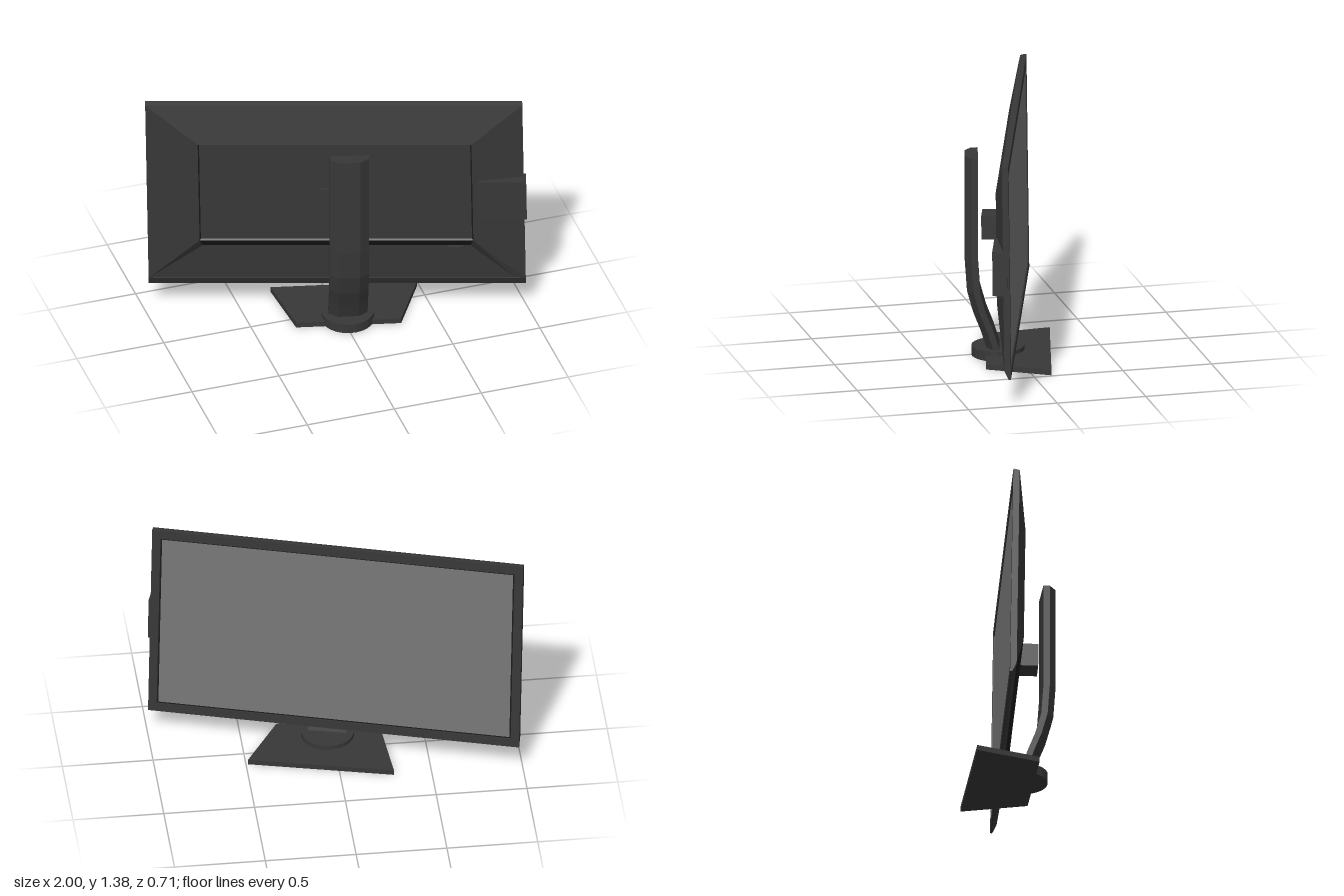
import * as THREE from 'three';

const dark = new THREE.MeshStandardMaterial({ color: 0x383838, flatShading: true });
const trim = new THREE.MeshStandardMaterial({ color: 0x1c1c1c, flatShading: true });
const glass = new THREE.MeshStandardMaterial({ color: 0x787878, flatShading: true });

// Display frame: across, up, and out of the back (slightly turned and leaning)
const panelMatrix = new THREE.Matrix4().makeBasis(
  new THREE.Vector3(1, -0.01, 0.31),
  new THREE.Vector3(-0.02, 1, 0.008),
  new THREE.Vector3(-0.296, 0, 0.955),
).setPosition(0, 0.765, -0.04);

function mesh(name, geometry, material, parent) {
  const m = new THREE.Mesh(geometry, material);
  m.name = name;
  parent.add(m);
  return m;
}

// Flat polygons, corners counter-clockwise seen from outside
function facets(polygons) {
  const pos = [];
  for (const p of polygons) {
    for (let i = 1; i < p.length - 1; i++) pos.push(...p[0], ...p[i], ...p[i + 1]);
  }
  const g = new THREE.BufferGeometry();
  g.setAttribute('position', new THREE.Float32BufferAttribute(pos, 3));
  g.computeVertexNormals();
  return g;
}

// Quads joining closed rings of equal point count
function loft(rings, skip = () => false) {
  const out = [];
  for (let r = 0; r < rings.length - 1; r++) {
    const a = rings[r], b = rings[r + 1], n = a.length;
    for (let i = 0; i < n; i++) {
      const j = (i + 1) % n;
      if (!skip(r, i)) out.push([a[i], a[j], b[j], b[i]]);
    }
  }
  return out;
}

const rect = (hx, y0, y1, w) => [[-hx, y0, w], [hx, y0, w], [hx, y1, w], [-hx, y1, w]];

function box(x0, x1, y0, y1, z0, z1) {
  return new THREE.BoxGeometry(x1 - x0, y1 - y0, z1 - z0)
    .translate((x0 + x1) / 2, (y0 + y1) / 2, (z0 + z1) / 2);
}

function buildDisplay() {
  const group = new THREE.Group();
  group.name = 'display';
  const add = (name, g, mat) => mesh(name, g.applyMatrix4(panelMatrix), mat, group);

  const inner = rect(0.94, -0.553, 0.55, 0.006);
  const rim = rect(0.985, -0.555, 0.598, 0.035);
  const plateau = rect(0.715, -0.27, 0.37, 0.085);
  const groove = rect(0.708, -0.263, 0.363, 0.077);

  // Screen and the thin dark step around it
  add('screen', facets([[...rect(0.932, -0.545, 0.542, 0.005)].reverse()]), glass);
  add('screenSurround', facets([[...inner].reverse()]), trim);

  // Bezel, wrapping round the edge to the back rim
  add('bezel', facets(loft([
    inner,
    rect(0.94, -0.553, 0.55, 0),
    rect(0.985, -0.605, 0.605, 0),
    rect(0.985, -0.605, 0.605, 0.012),
    rim,
  ])), dark);

  // Sloping back shell; the bottom slope is recessed below an overhang
  const top = rect(0.7, -0.325, 0, 0.05);
  const foot = rect(0.93, -0.552, 0, 0.034);
  add('backShell', facets([
    ...loft([rim, plateau], (r, i) => i === 0),
    groove,
    [foot[0], foot[1], top[1], top[0]],
    [rim[0], foot[0], top[0], plateau[0]],
    [foot[1], rim[1], plateau[1], top[1]],
    [rim[0], rim[1], foot[1], foot[0]],
  ]), dark);
  add('backGroove', facets([
    ...loft([plateau, groove]),
    [top[0], top[1], plateau[1], plateau[0]],
  ]), trim);

  // Small control under the overhang
  add('controlButton', new THREE.CylinderGeometry(0.05, 0.05, 0.01, 16)
    .scale(1, 1, 0.4).translate(0.62, -0.325, 0.055), dark);

  // Module clipped to the side edge
  add('sideModule', box(0.745, 0.997, -0.125, 0.125, 0.01, 0.093), dark);

  // Mount reaching to the stand column
  add('mountPlate', box(-0.08, 0.13, -0.135, 0.075, 0.07, 0.09), dark);
  add('mountBlock', box(-0.025, 0.105, -0.095, 0.035, 0.085, 0.2), dark);
  return group;
}

function buildStand() {
  const group = new THREE.Group();
  group.name = 'stand';
  group.position.set(0.03, 0, 0.085);
  group.rotation.y = -0.24;

  // Trapezoid foot
  const s = new THREE.Shape();
  s.moveTo(-0.288, -0.068);
  s.lineTo(0.288, -0.068);
  s.lineTo(0.402, 0.288);
  s.lineTo(-0.402, 0.288);
  s.closePath();
  const foot = new THREE.ExtrudeGeometry(s, { depth: 0.03, bevelEnabled: false });
  mesh('foot', foot.rotateX(-Math.PI / 2), dark, group);

  // Swivel disc
  mesh('swivelDisc', new THREE.CylinderGeometry(0.145, 0.145, 0.055, 24)
    .translate(0, 0.0275, 0), dark, group);

  // Column, bending forward at its lower end
  const section = [[-0.107, 0.145], [-0.055, 0.182], [0.055, 0.182],
    [0.107, 0.145], [0.107, 0.11], [-0.107, 0.11]];
  const path = [[0.05, -0.12], [0.15, -0.088], [0.26, -0.045], [0.38, -0.012], [0.55, 0], [1.15, 0]];
  const rings = path.map(([y, dz]) => section.map(([x, z]) => [x, y, z + dz]));
  mesh('column', facets([...loft(rings), rings[rings.length - 1]]), dark, group);
  return group;
}

export function createModel() {
  const model = new THREE.Group();
  model.name = 'monitor';
  model.add(buildDisplay(), buildStand());
  return model;
}
